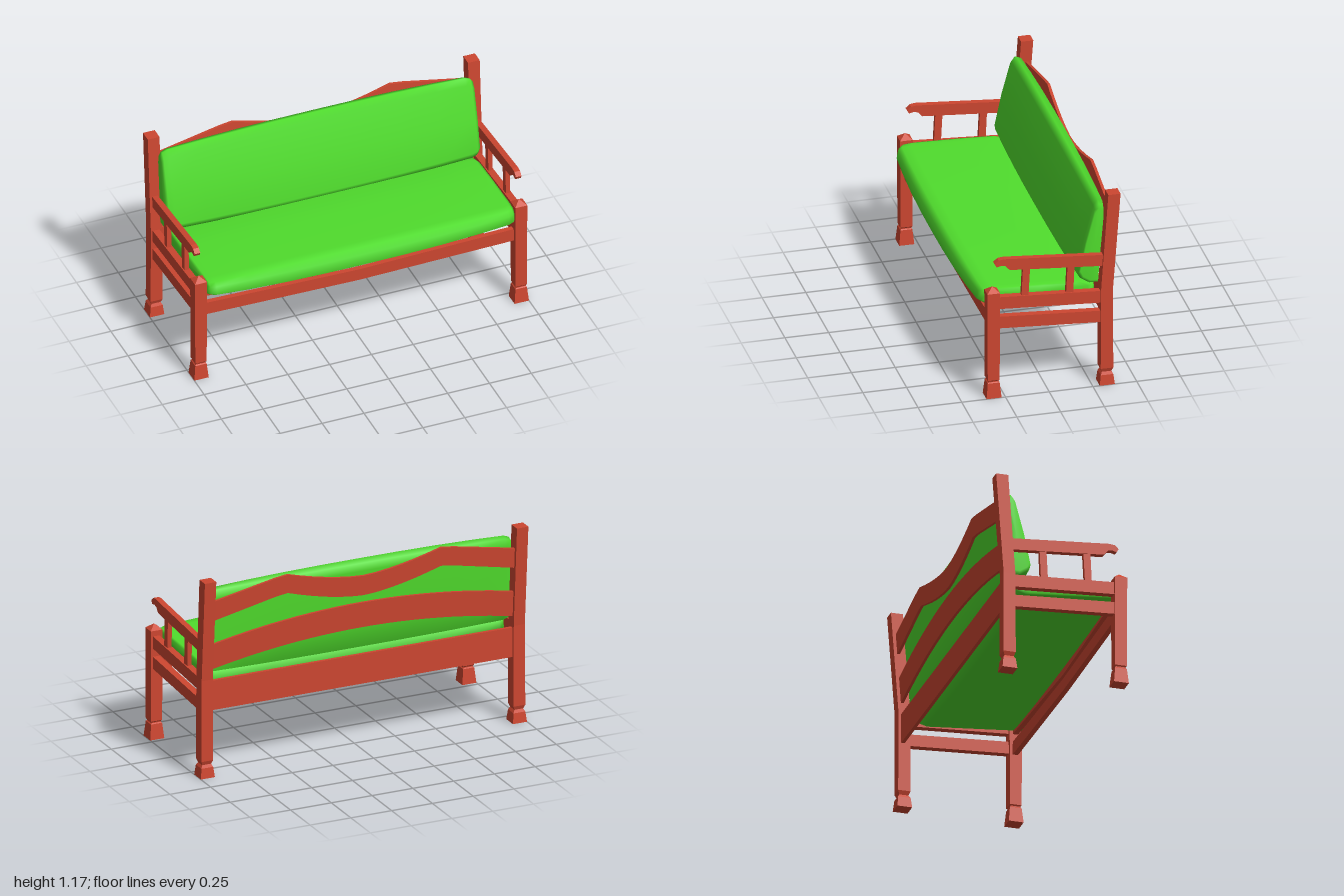
import * as THREE from 'three';

const wood = new THREE.MeshStandardMaterial({ color: 0xcc4630, flatShading: true });
const fabric = new THREE.MeshStandardMaterial({ color: 0x50dd2d });

// centre line of the leaning back posts
const backZ = y => -0.332 - Math.max(0, y - 0.58) * 0.072;

function part(parent, name, geometry, material = wood) {
  const mesh = new THREE.Mesh(geometry, material);
  mesh.name = name;
  parent.add(mesh);
  return mesh;
}

// square post turned from [half width, height] pairs, z centre given by a rule
function post(profile, x, zRule) {
  const pts = profile.map(([h, y]) => new THREE.Vector2(h * Math.SQRT2, y));
  const g = new THREE.LatheGeometry(pts, 4).rotateY(Math.PI / 4);
  const p = g.attributes.position;
  for (let i = 0; i < p.count; i++) {
    p.setX(i, p.getX(i) + x);
    p.setZ(i, p.getZ(i) + zRule(p.getY(i)));
  }
  return g;
}

const shapeOf = pts => new THREE.Shape(pts.map(([a, b]) => new THREE.Vector2(a, b)));

// [z, y] outline with a thickness along x
function sidePart(pts, x, width) {
  return new THREE.ExtrudeGeometry(shapeOf(pts), { depth: width, bevelEnabled: false })
    .rotateY(-Math.PI / 2).translate(x + width / 2, 0, 0);
}

// long board between height rules, z centre following a rule
function board(bottom, top, depth, zRule) {
  const xs = [];
  for (let i = 0; i <= 24; i++) xs.push(-0.94 + i * 1.88 / 24);
  const outline = [
    ...xs.map(x => [x, bottom(x)]),
    ...xs.slice().reverse().map(x => [x, top(x)])
  ];
  const g = new THREE.ExtrudeGeometry(shapeOf(outline), { depth, bevelEnabled: false });
  const p = g.attributes.position;
  for (let i = 0; i < p.count; i++) p.setZ(i, p.getZ(i) - depth / 2 + zRule(p.getY(i)));
  return g;
}

// cushion lofted along x, from an end section to a fuller middle section
function cushion(end, mid, halfWidth) {
  const us = [-1, -0.985, -0.95, -0.75, -0.5, -0.25, 0, 0.25, 0.5, 0.75, 0.95, 0.985, 1];
  const n = end.length, pos = [], idx = [];
  const centre = [0, 1].map(k => end.reduce((s, p) => s + p[k], 0) / n);
  us.forEach(u => {
    const a = Math.abs(u), m = 1 - Math.pow(a, 2.5);
    const s = a === 1 ? 0.88 : a > 0.98 ? 0.96 : 1;
    for (let j = 0; j < n; j++) {
      const [z, y] = [0, 1].map(k => {
        const v = THREE.MathUtils.lerp(end[j][k], mid[j][k], m);
        return centre[k] + (v - centre[k]) * s;
      });
      pos.push(u * halfWidth, y, z);
    }
  });
  for (let i = 0; i < us.length - 1; i++) {
    for (let j = 0; j < n; j++) {
      const k = (j + 1) % n, a = i * n + j, b = i * n + k;
      idx.push(a, a + n, b + n, a, b + n, b);
    }
  }
  // end caps
  const c0 = us.length * n, last = (us.length - 1) * n;
  pos.push(-halfWidth, centre[1], centre[0], halfWidth, centre[1], centre[0]);
  for (let j = 0; j < n; j++) {
    const k = (j + 1) % n;
    idx.push(c0, j, k, c0 + 1, last + k, last + j);
  }
  const g = new THREE.BufferGeometry();
  g.setAttribute('position', new THREE.Float32BufferAttribute(pos, 3));
  g.setIndex(idx);
  g.computeVertexNormals();
  return g;
}

export function createModel() {
  const bench = new THREE.Group();
  bench.name = 'bench';

  // both ends: legs, side rails and arm
  for (const s of [-1, 1]) {
    const side = new THREE.Group();
    side.name = s > 0 ? 'leftEnd' : 'rightEnd';
    bench.add(side);

    part(side, 'frontLeg', post([
      [0, 0], [0.043, 0], [0.034, 0.09], [0.029, 0.095], [0.029, 0.1], [0.034, 0.107],
      [0.036, 0.645], [0, 0.675]
    ], s * 0.957, () => 0.315));
    part(side, 'backLeg', post([
      [0, 0], [0.043, 0], [0.036, 0.06], [0.027, 0.077], [0.036, 0.1],
      [0.034, 0.58], [0.035, 1.175], [0, 1.175]
    ], s * 0.957, backZ));

    part(side, 'upperSideRail', sidePart(
      [[0.3, 0.542], [0.3, 0.615], [-0.31, 0.578], [-0.31, 0.505]], s * 0.96, 0.04));
    part(side, 'lowerSideRail', sidePart(
      [[0.3, 0.422], [0.3, 0.494], [-0.31, 0.455], [-0.31, 0.385]], s * 0.96, 0.04));

    part(side, 'armrest', sidePart([
      [-0.33, 0.73], [0.22, 0.774], [0.245, 0.802], [0.27, 0.806], [0.295, 0.8],
      [0.306, 0.82], [0.283, 0.841], [0.25, 0.845], [-0.33, 0.798]
    ], s * 0.96, 0.034));
    part(side, 'frontArmSpindle', sidePart(
      [[0.112, 0.59], [0.152, 0.59], [0.143, 0.78], [0.102, 0.78]], s * 0.96, 0.026));
    part(side, 'backArmSpindle', sidePart(
      [[-0.144, 0.58], [-0.103, 0.58], [-0.112, 0.76], [-0.152, 0.76]], s * 0.96, 0.026));
  }

  // front rails, sagging slightly
  const sag = (x, d) => -d * (1 - Math.abs(x) / 0.94);
  part(bench, 'upperFrontRail', board(
    x => 0.535 + sag(x, 0.045), () => 0.57, 0.03, () => 0.312));
  part(bench, 'lowerFrontRail', board(
    x => 0.41 + sag(x, 0.016), x => 0.487 + sag(x, 0.022), 0.03, () => 0.312));

  // back boards, leaning with the posts
  const lean = y => backZ(y) - 0.008;
  const arch = x => 0.1 * (1 - (x / 0.94) ** 2);
  const crest = x => {
    const a = Math.abs(x);
    return a > 0.48 ? 0.092 * (0.94 - a) / 0.46 : 0.092 * Math.pow(a / 0.48, 1.6);
  };
  part(bench, 'lowerBackBoard', board(() => 0.39, () => 0.565, 0.02, lean));
  part(bench, 'middleBackSlat', board(x => 0.63 + arch(x), x => 0.78 + arch(x), 0.016, lean));
  part(bench, 'topBackSlat', board(
    x => 0.925 + crest(x) * 1.08, x => 1.043 + crest(x), 0.016, lean));

  // cushions
  part(bench, 'seatCushion', cushion(
    [[-0.22, 0.5], [0.1, 0.53], [0.36, 0.555], [0.38, 0.57], [0.372, 0.615], [0.35, 0.632],
      [0.3, 0.636], [0, 0.627], [-0.2, 0.617], [-0.285, 0.59], [-0.29, 0.52]],
    [[-0.22, 0.458], [0.1, 0.503], [0.39, 0.54], [0.413, 0.558], [0.405, 0.62], [0.375, 0.648],
      [0.32, 0.65], [0, 0.64], [-0.2, 0.628], [-0.29, 0.6], [-0.295, 0.5]],
    0.92), fabric);
  part(bench, 'backCushion', cushion(
    [[-0.3, 0.6], [-0.25, 0.6], [-0.205, 0.63], [-0.185, 0.67], [-0.225, 0.86], [-0.28, 1.065],
      [-0.305, 1.1], [-0.33, 1.09], [-0.335, 1.04], [-0.31, 0.75]],
    [[-0.3, 0.59], [-0.24, 0.585], [-0.19, 0.62], [-0.17, 0.66], [-0.215, 0.86], [-0.273, 1.09],
      [-0.305, 1.12], [-0.345, 1.105], [-0.352, 1.06], [-0.32, 0.75]],
    0.935), fabric);

  return bench;
}
